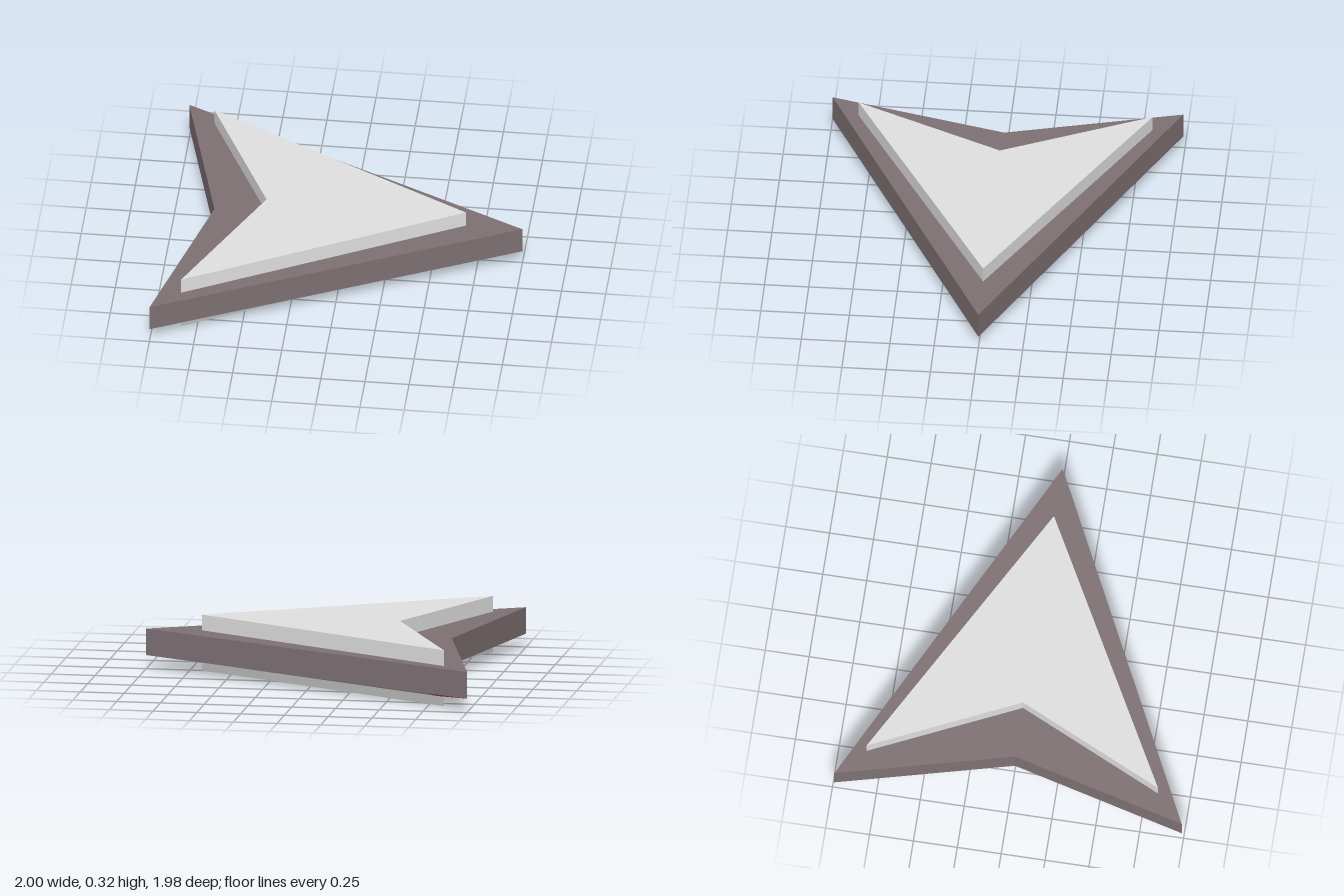
import * as THREE from 'three';

const material = (name, color, side = THREE.FrontSide) => {
  const m = new THREE.MeshStandardMaterial({ color, side });
  m.name = name;
  return m;
};

// Arrowhead outline: tip, left wing, notch, right wing as [x, z]
const arrow = (tip, wingX, wingZ, notch) => [[tip, 0], [wingX, wingZ], [notch, 0], [wingX, -wingZ]];

const mesh = (name, points, mat) => {
  const geometry = new THREE.BufferGeometry().setFromPoints(points);
  geometry.computeVertexNormals();
  const m = new THREE.Mesh(geometry, mat);
  m.name = name;
  return m;
};

// Side walls and a top face; the underside is built separately
function prism(name, outline, y0, y1, mat) {
  const low = outline.map(([x, z]) => new THREE.Vector3(x, y0, z));
  const high = outline.map(([x, z]) => new THREE.Vector3(x, y1, z));
  const points = [];
  for (let i = 0; i < 4; i++) {
    const j = (i + 1) % 4;
    points.push(low[j], low[i], high[i], low[j], high[i], high[j]);
  }
  const [tip, left, notch, right] = high;
  points.push(tip, notch, left, tip, right, notch);
  return mesh(name, points, mat);
}

// Downward face, tiled in n rows with alternating red and dark triangles
function underside(name, outline, yEdge, yCentre, n, red, dark) {
  const group = new THREE.Group();
  group.name = name;
  const tiles = { red: [], dark: [] };
  const centre = new THREE.Vector3(-0.2, yCentre, 0);
  const rim = outline.map(([x, z]) => new THREE.Vector3(x, yEdge, z));
  rim.forEach((a, k) => {
    const b = rim[(k + 1) % 4];
    const at = (i, j) => centre.clone()
      .addScaledVector(a.clone().sub(centre), i / n)
      .addScaledVector(b.clone().sub(centre), j / n);
    for (let i = 0; i < n; i++) {
      for (let j = 0; i + j < n; j++) {
        tiles.red.push(at(i, j), at(i + 1, j), at(i, j + 1));
        if (i + j < n - 1) tiles.dark.push(at(i + 1, j), at(i + 1, j + 1), at(i, j + 1));
      }
    }
  });
  group.add(mesh(name + 'RedTiles', tiles.red, red), mesh(name + 'DarkTiles', tiles.dark, dark));
  return group;
}

// Thin patch fanned from its first corner
function patch(name, corners, mat) {
  const v = corners.map((c) => new THREE.Vector3(...c));
  const points = [];
  for (let i = 1; i < v.length - 1; i++) points.push(v[0], v[i], v[i + 1]);
  return mesh(name, points, mat);
}

export function createModel() {
  const mauve = material('mauve', 0x7e7174);
  const lightGrey = material('light grey', 0xe0e0e0);
  const midGrey = material('mid grey', 0xbababa, THREE.DoubleSide);
  const red = material('red', 0xd04c3a, THREE.DoubleSide);
  const dark = material('charcoal', 0x3c3c3c);

  const outer = arrow(1, -1, 0.99, -0.745);
  const inner = arrow(0.68, -0.84, 0.83, -0.45);

  // Corners of the sloping panel along the right edge
  const rimFront = [0.58, 0.078, -0.209];
  const rimBack = [-0.74, 0.078, -0.86];
  const innerFront = [0.4, 0.049, -0.155];
  const innerBack = [-0.8, 0.053, -0.81];

  const model = new THREE.Group();
  model.name = 'arrowhead';
  model.add(
    prism('outerBody', outer, 0.078, 0.23, mauve),
    prism('upperCore', inner, 0.078, 0.32, lightGrey),
    prism('lowerCore', inner, 0, 0.078, midGrey),
    underside('outerUnderside', outer, 0.078, 0.045, 9, red, dark),
    underside('coreUnderside', inner, 0.003, 0.003, 8, red, dark),
    // Grey tip on the underside of the core
    patch('coreTip', [[0.68, 0, 0], [0.41, 0, 0.147], [0.49, 0, -0.104]], midGrey),
    // Sloping panel and its red ends
    patch('slopingPanel', [rimFront, rimBack, innerBack, innerFront], midGrey),
    patch('panelFrontEnd', [rimFront, innerFront, [0.98, 0.077, 0]], red),
    patch('panelBackEnd', [rimBack, [-1, 0.078, -0.99], innerBack], red),
  );
  return model;
}
